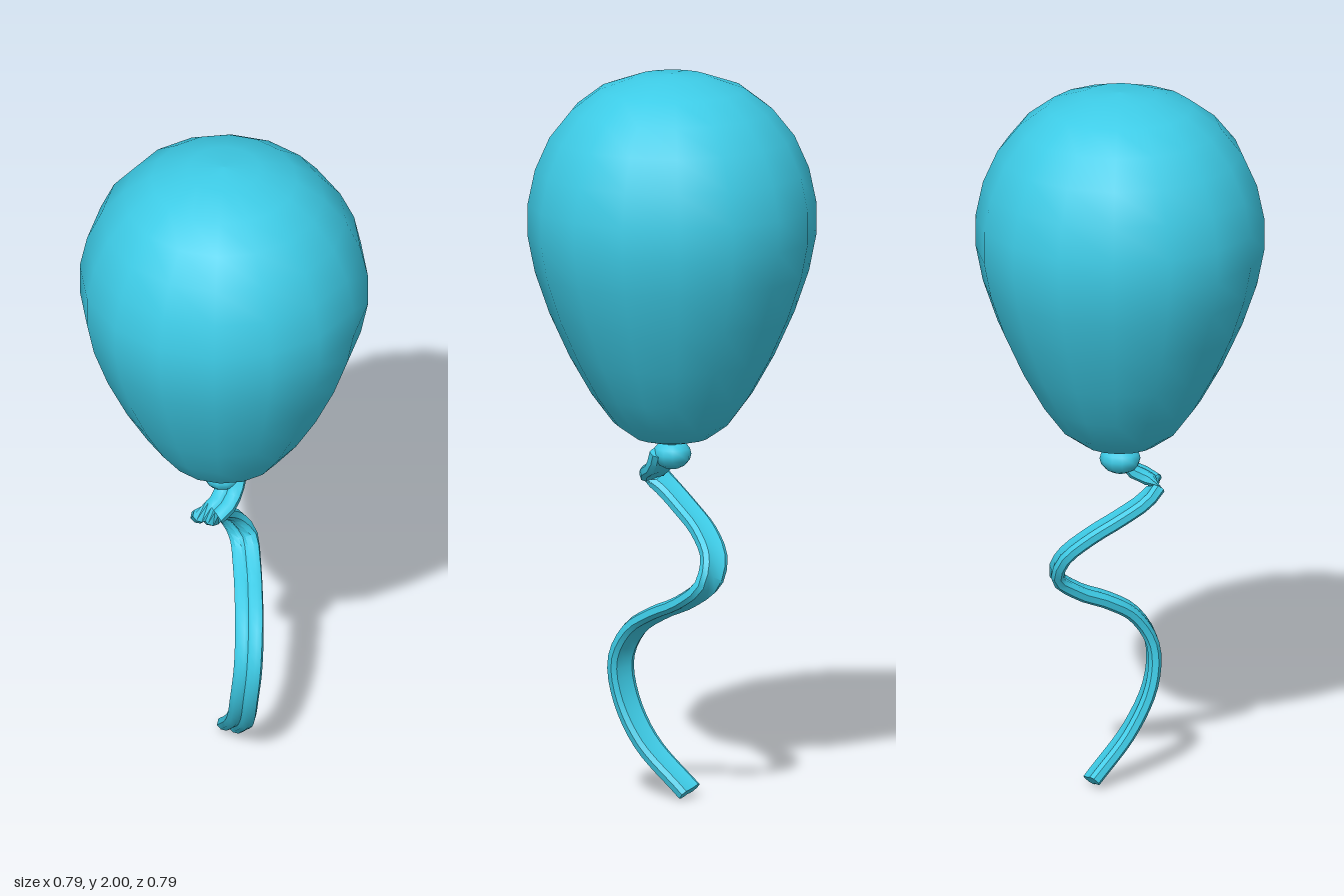
import * as THREE from 'three';
import { toCreasedNormals } from 'three/addons/utils/BufferGeometryUtils.js';

const material = new THREE.MeshStandardMaterial({ color: 0x3dcbe6 });

function part(name, geometry) {
  const mesh = new THREE.Mesh(geometry, material);
  mesh.name = name;
  return mesh;
}

// Sweeps a closed cross-section along a curve, keeping its wide axis near one direction
function sweep(curve, section, wide, steps) {
  const n = section.length, pos = [], index = [];
  for (let i = 0; i <= steps; i++) {
    const p = curve.getPointAt(i / steps);
    const t = curve.getTangentAt(i / steps);
    const w = wide.clone().addScaledVector(t, -wide.dot(t)).normalize();
    const v = new THREE.Vector3().crossVectors(t, w);
    for (const [a, b] of section) {
      pos.push(...p.clone().addScaledVector(w, a).addScaledVector(v, b).toArray());
    }
  }
  for (let i = 0; i < steps; i++) {
    for (let j = 0; j < n; j++) {
      const k = (j + 1) % n, a = i * n, b = a + n;
      index.push(a + j, a + k, b + j, a + k, b + k, b + j);
    }
  }
  // End caps
  const first = pos.length / 3, last = first + 1, end = steps * n;
  pos.push(...curve.getPointAt(0).toArray(), ...curve.getPointAt(1).toArray());
  for (let j = 0; j < n; j++) {
    const k = (j + 1) % n;
    index.push(first, k, j, last, end + j, end + k);
  }
  const geometry = new THREE.BufferGeometry();
  geometry.setAttribute('position', new THREE.Float32BufferAttribute(pos, 3));
  geometry.setIndex(index);
  return toCreasedNormals(geometry, 0.7);
}

export function createModel() {
  const group = new THREE.Group();
  group.name = 'balloon';

  // Teardrop body, 16 sides
  const profile = [
    [0, 0.972], [0.045, 0.975], [0.1, 0.988], [0.16, 1.03], [0.22, 1.11], [0.28, 1.215],
    [0.335, 1.335], [0.375, 1.45], [0.395, 1.55], [0.395, 1.64], [0.375, 1.735],
    [0.335, 1.825], [0.275, 1.9], [0.2, 1.957], [0.1, 1.992], [0, 2],
  ].map(([r, y]) => new THREE.Vector2(r, y));
  group.add(part('body', new THREE.LatheGeometry(profile, 16)));

  // Knot under the body
  const knot = part('knot', new THREE.SphereGeometry(1, 12, 8));
  knot.scale.set(0.053, 0.042, 0.057);
  knot.position.set(0, 0.942, 0);
  group.add(knot);

  // Curling ribbon with a shallow groove along each flat side
  const path = new THREE.CatmullRomCurve3([
    [0.025, 0.95, -0.01], [0.035, 0.905, 0.015], [0.05, 0.882, 0.06], [0.04, 0.865, 0.092],
    [0.005, 0.83, 0.075], [-0.04, 0.785, 0.02], [-0.085, 0.735, -0.05], [-0.11, 0.67, -0.12],
    [-0.09, 0.605, -0.148], [-0.03, 0.55, -0.11], [0.04, 0.51, -0.055], [0.1, 0.46, -0.005],
    [0.138, 0.37, 0.033], [0.125, 0.26, 0.035], [0.07, 0.14, 0], [-0.045, 0.014, -0.065],
  ].map((p) => new THREE.Vector3(...p)));
  const section = [
    [0.038, -0.009], [0.038, 0.009], [0.025, 0.018], [0.009, 0.018], [0, 0.012], [-0.009, 0.018],
    [-0.025, 0.018], [-0.038, 0.009], [-0.038, -0.009], [-0.025, -0.018], [0, -0.014], [0.025, -0.018],
  ];
  const wide = new THREE.Vector3(0.85, 0, -0.53).normalize();
  group.add(part('ribbon', sweep(path, section, wide, 44)));

  return group;
}
